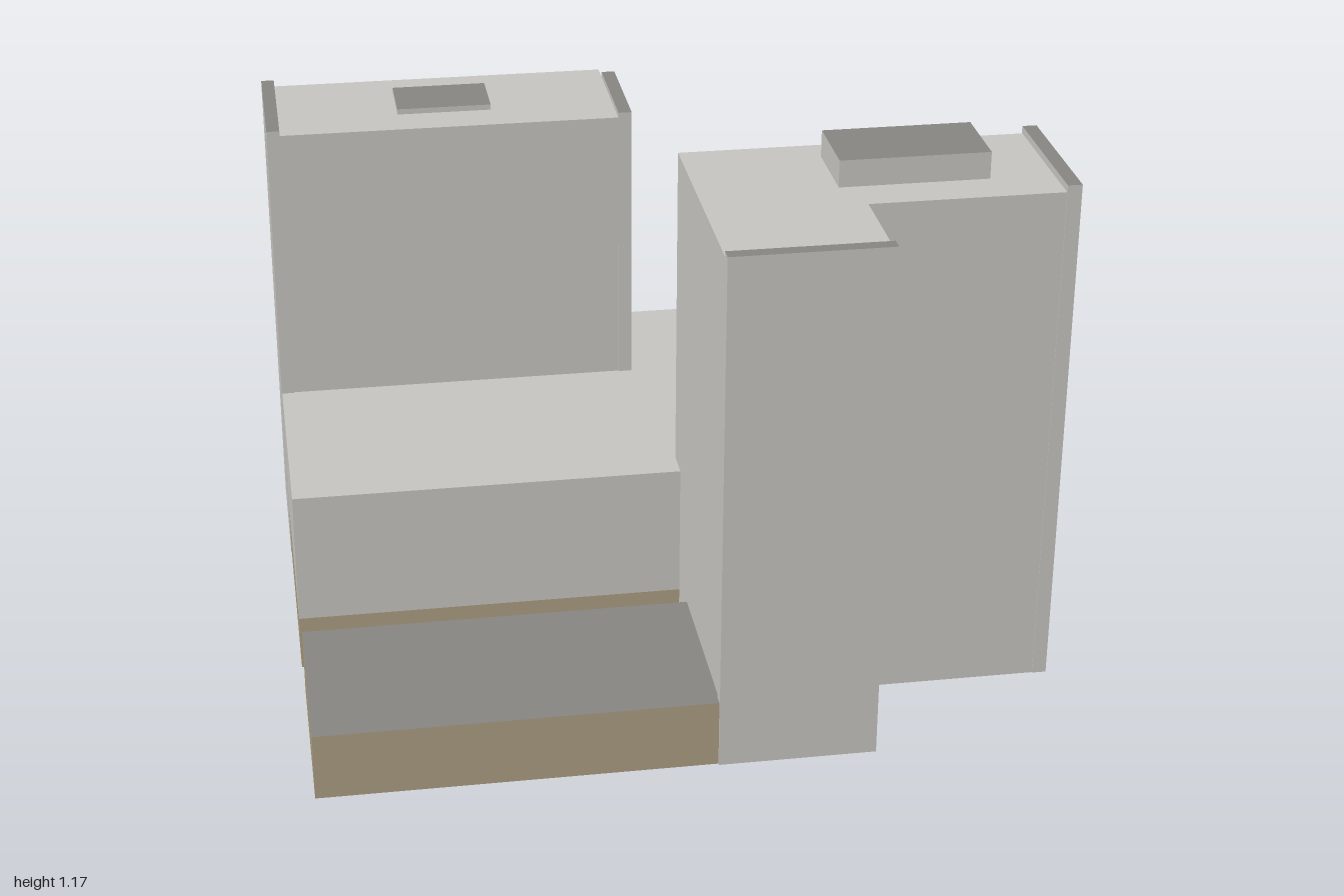
import * as THREE from 'three';

const mat = (name, color) => {
  const m = new THREE.MeshStandardMaterial({ color });
  m.name = name;
  return m;
};

export function createModel() {
  const wall = mat('pale grey wall', 0xc4c3bf);
  const roof = mat('dark grey roof', 0x868581);
  const tan = mat('tan plinth', 0xa99c81);

  const model = new THREE.Group();
  model.name = 'buildingBlock';
  // The whole plan is turned on the site; parts are laid out in plan axes u, v
  const plan = new THREE.Group();
  plan.name = 'turnedPlan';
  plan.rotation.y = THREE.MathUtils.degToRad(-28);
  model.add(plan);

  const add = (name, geometry, material) => {
    const mesh = new THREE.Mesh(geometry, material);
    mesh.name = name;
    plan.add(mesh);
    return mesh;
  };

  // Upright prism over a plan outline
  const prism = (name, outline, y0, y1, material) => {
    const shape = new THREE.Shape(outline.map(([u, v]) => new THREE.Vector2(u, -v)));
    const g = new THREE.ExtrudeGeometry(shape, { depth: y1 - y0, bevelEnabled: false });
    g.rotateX(-Math.PI / 2).translate(0, y0, 0);
    return add(name, g, material);
  };

  // Box between plan limits, with its own colour on top
  const block = (name, [u0, u1], [v0, v1], [y0, y1], side, top) => {
    const g = new THREE.BoxGeometry(u1 - u0, y1 - y0, v1 - v0);
    g.translate((u0 + u1) / 2, (y0 + y1) / 2, (v0 + v1) / 2);
    return add(name, g, [side, side, top, side, side, side]);
  };

  // Podium, cut around both towers, with a tan foot
  const podium = [
    [0.02, -0.56], [0.834, -0.56], [0.834, 0.18], [0.08, 0.18],
    [0.08, 0.245], [-0.742, 0.245], [-0.742, -0.253], [0.02, -0.253],
  ];
  prism('podiumFoot', podium, 0, 0.12, tan);
  prism('podiumUpper', podium, 0.12, 0.41, wall);

  // Low wing in front
  block('lowWing', [-0.739, 0.08], [0.34, 0.738], [0, 0.145], tan, roof);

  // Back tower with end slabs and a roof hatch
  block('backTower', [-0.715, 0.02], [-0.56, -0.253], [0, 1.025], wall, wall);
  block('backTowerRightSlab', [-0.743, -0.715], [-0.567, -0.25], [0, 1.037], wall, roof);
  block('backTowerLeftSlab', [0.02, 0.049], [-0.51, -0.25], [0, 1.037], wall, roof);
  block('backTowerHatch', [-0.455, -0.25], [-0.479, -0.343], [1.025, 1.037], wall, roof);

  // L-shaped front tower with end slabs and a plant room
  prism('frontTower', [
    [0.078, 0.18], [0.8, 0.18], [0.8, 0.5], [0.4, 0.5], [0.4, 0.715], [0.078, 0.715],
  ], 0, 1.11, wall);
  block('frontTowerLeftSlab', [0.8, 0.83], [0.177, 0.502], [0, 1.125], wall, roof);
  block('frontTowerFrontSlab', [0.076, 0.402], [0.715, 0.743], [0, 1.125], wall, roof);
  block('plantRoom', [0.361, 0.669], [0.244, 0.409], [1.11, 1.167], wall, roof);

  return model;
}
